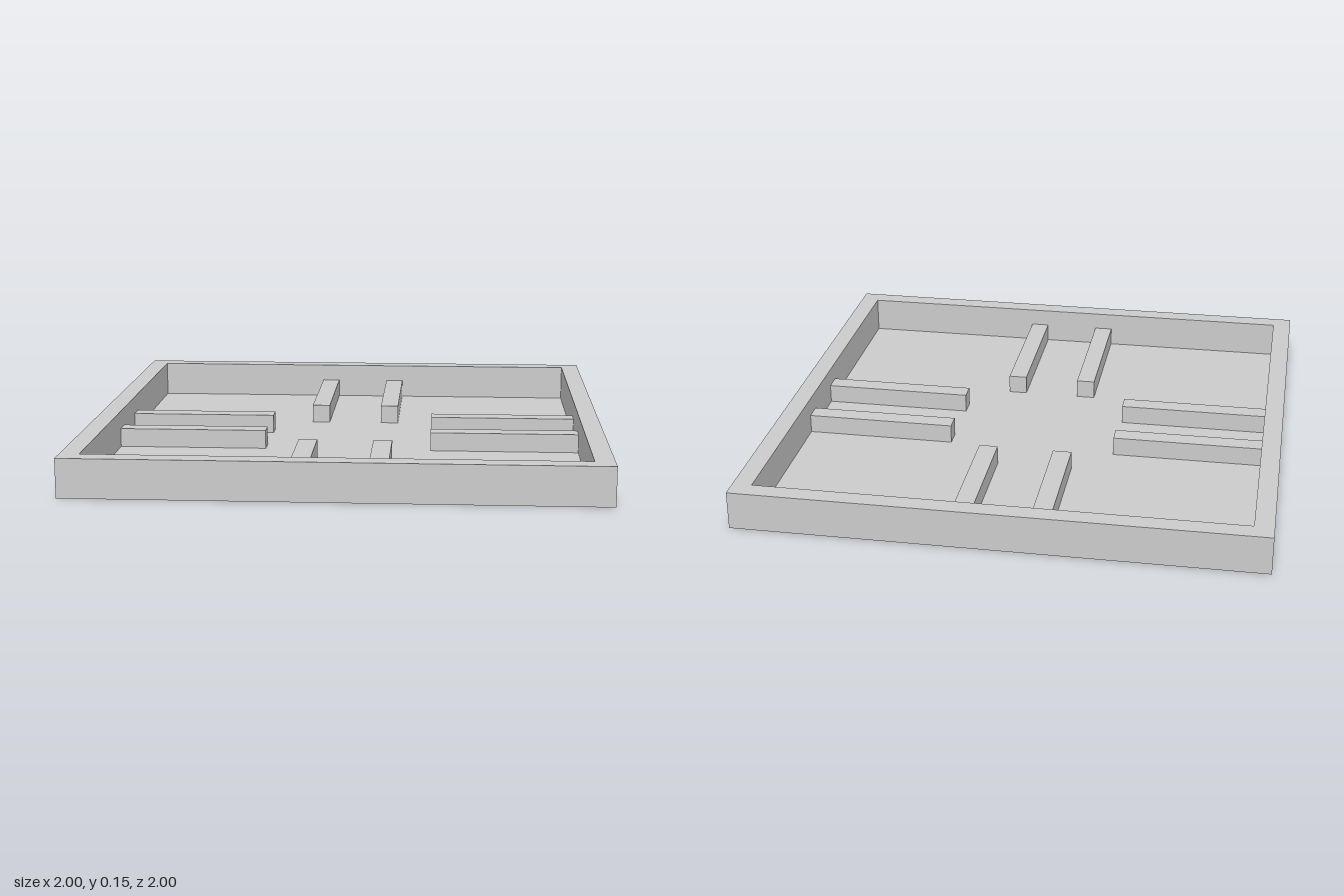
import * as THREE from 'three';

const U = 2 / 27;          // base unit: wall and rib thickness
const HEIGHT = 2 * U;      // wall height
const FLOOR = 0.004;       // thin base sheet
const INNER = 1 - U;       // half width inside the walls

export function createModel() {
  const tray = new THREE.Group();
  tray.name = 'tray';
  const material = new THREE.MeshStandardMaterial({ color: 0xcccccc, flatShading: true });

  const square = (path, h) =>
    path.moveTo(-h, -h).lineTo(h, -h).lineTo(h, h).lineTo(-h, h).closePath();

  // square wall around the edge
  const outline = square(new THREE.Shape(), 1);
  outline.holes.push(square(new THREE.Path(), INNER));
  const wallGeometry = new THREE.ExtrudeGeometry(outline, { depth: HEIGHT, bevelEnabled: false });
  wallGeometry.rotateX(-Math.PI / 2);
  const wall = new THREE.Mesh(wallGeometry, material);
  wall.name = 'wall';
  tray.add(wall);

  // floor inside the wall
  const floor = new THREE.Mesh(new THREE.BoxGeometry(2 * INNER, FLOOR, 2 * INNER), material);
  floor.name = 'floor';
  floor.position.y = FLOOR / 2;
  tray.add(floor);

  // a pair of ribs running inward from the middle of each side
  const ribEnd = 4.5 * U;
  const ribGeometry = new THREE.BoxGeometry(U, U, INNER - ribEnd);
  for (let side = 0; side < 4; side++) {
    const pair = new THREE.Group();
    pair.name = 'ribPair';
    pair.rotation.y = side * Math.PI / 2;
    for (const s of [-1, 1]) {
      const rib = new THREE.Mesh(ribGeometry, material);
      rib.name = 'rib';
      rib.position.set(s * 2 * U, FLOOR + U / 2, (INNER + ribEnd) / 2);
      pair.add(rib);
    }
    tray.add(pair);
  }
  return tray;
}
